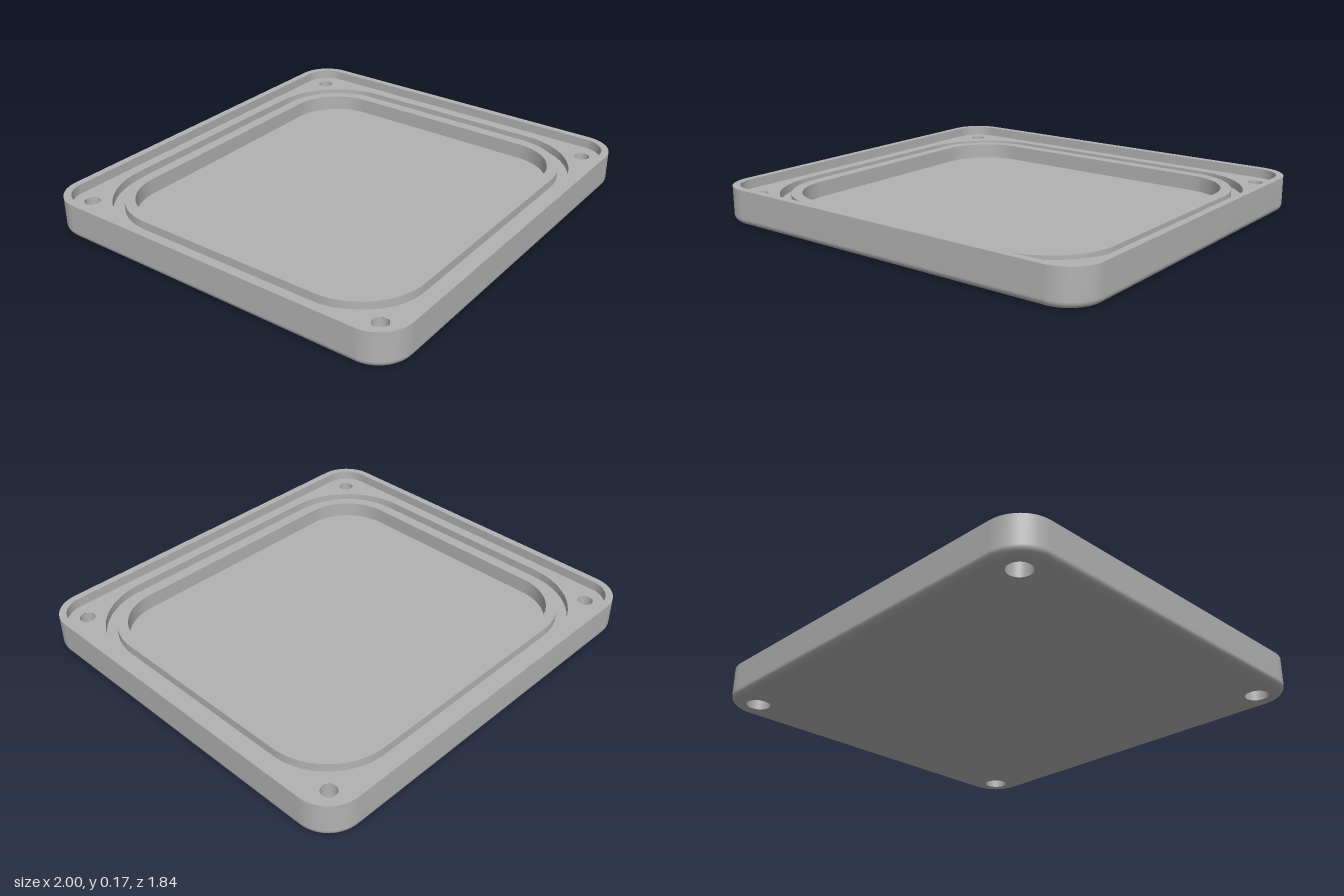
import * as THREE from 'three';

const ARC = 14; // segments per rounded corner

// Rounded rectangle outline, counter-clockwise
function outline(hx, hz, r) {
  const pts = [];
  const signs = [[1, 1], [-1, 1], [-1, -1], [1, -1]];
  signs.forEach(([sx, sy], q) => {
    for (let i = 0; i <= ARC; i++) {
      const a = (q + i / ARC) * Math.PI / 2;
      pts.push(new THREE.Vector2(sx * (hx - r) + r * Math.cos(a), sy * (hz - r) + r * Math.sin(a)));
    }
  });
  return pts;
}

// Skin through a list of [outline, height] sections
function loft(sections) {
  const pos = [], idx = [];
  const n = sections[0][0].length;
  for (const [pts, y] of sections) for (const p of pts) pos.push(p.x, y, -p.y);
  for (let s = 0; s < sections.length - 1; s++) {
    for (let i = 0; i < n; i++) {
      const j = (i + 1) % n, a = s * n, b = a + n;
      idx.push(a + i, a + j, b + j, a + i, b + j, b + i);
    }
  }
  const g = new THREE.BufferGeometry();
  g.setAttribute('position', new THREE.Float32BufferAttribute(pos, 3));
  g.setIndex(idx);
  g.computeVertexNormals();
  return g;
}

// Flat face with cut-outs, facing up or down
function plate(pts, holes, y, up = true) {
  const shape = new THREE.Shape(pts);
  for (const h of holes) shape.holes.push(new THREE.Path(h));
  return new THREE.ShapeGeometry(shape).rotateX(up ? -Math.PI / 2 : Math.PI / 2).translate(0, y, 0);
}

export function createModel() {
  const group = new THREE.Group();
  const grey = new THREE.MeshStandardMaterial({ color: 0xb2b2b2 });
  grey.name = 'grey';
  const add = (name, geometry) => {
    const mesh = new THREE.Mesh(geometry, grey);
    mesh.name = name;
    group.add(mesh);
    return mesh;
  };

  // Heights
  const top = 0.165, ledge = 0.12, groove = 0.08, floor = 0.045, boreTop = 0.07;
  const holeR = 0.036, boreR = 0.055, fillet = 0.032;

  // Outlines from outside to inside
  const outer = outline(1, 0.922, 0.16);
  const base = outline(1 - fillet, 0.922 - fillet, 0.16 - fillet);
  const lip = outline(0.966, 0.887, 0.125);
  const grooveOuter = outline(0.912, 0.835, 0.37);
  const grooveInner = outline(0.859, 0.782, 0.315);
  const pocket = outline(0.805, 0.728, 0.25);

  // Screw hole centres
  const centres = [[1, 1], [-1, 1], [-1, -1], [1, -1]].map(([x, y]) => [x * 0.865, y * 0.79]);
  const circles = (r) => centres.map(([x, y]) =>
    new THREE.Path().absarc(x, y, r, 0, Math.PI * 2).getPoints(32).slice(0, -1));

  // Outer wall with a rounded lower edge
  const wall = [];
  for (let i = 0; i <= 6; i++) {
    const a = (i / 6) * Math.PI / 2;
    const inset = fillet * (1 - Math.sin(a));
    wall.push([outline(1 - inset, 0.922 - inset, 0.16 - inset), fillet * (1 - Math.cos(a))]);
  }
  wall.push([outer, top]);
  add('outerWall', loft(wall));
  add('underside', plate(base, circles(boreR), 0, false));

  // Raised lip
  add('lipTop', loft([[outer, top], [lip, top]]));
  add('lipInside', loft([[lip, top], [lip, ledge]]));

  // Ledge with screw holes
  add('ledge', plate(lip, [grooveOuter, ...circles(holeR)], ledge));

  // Seal groove
  add('grooveOuterWall', loft([[grooveOuter, ledge], [grooveOuter, groove]]));
  add('grooveFloor', loft([[grooveOuter, groove], [grooveInner, groove]]));
  add('grooveInnerWall', loft([[grooveInner, groove], [grooveInner, ledge]]));
  add('innerRim', loft([[grooveInner, ledge], [pocket, ledge]]));

  // Central pocket
  add('pocketWall', loft([[pocket, ledge], [pocket, floor]]));
  add('pocketFloor', plate(pocket, [], floor));

  // Counterbored screw holes
  const steps = [[holeR, ledge], [holeR, boreTop], [boreR, boreTop], [boreR, 0]]
    .map(([r, y]) => new THREE.Vector2(r, y));
  for (const [x, z] of centres) {
    for (let i = 0; i < 3; i++) {
      add('screwHole', new THREE.LatheGeometry([steps[i], steps[i + 1]], 32)).position.set(x, 0, z);
    }
  }
  return group;
}
